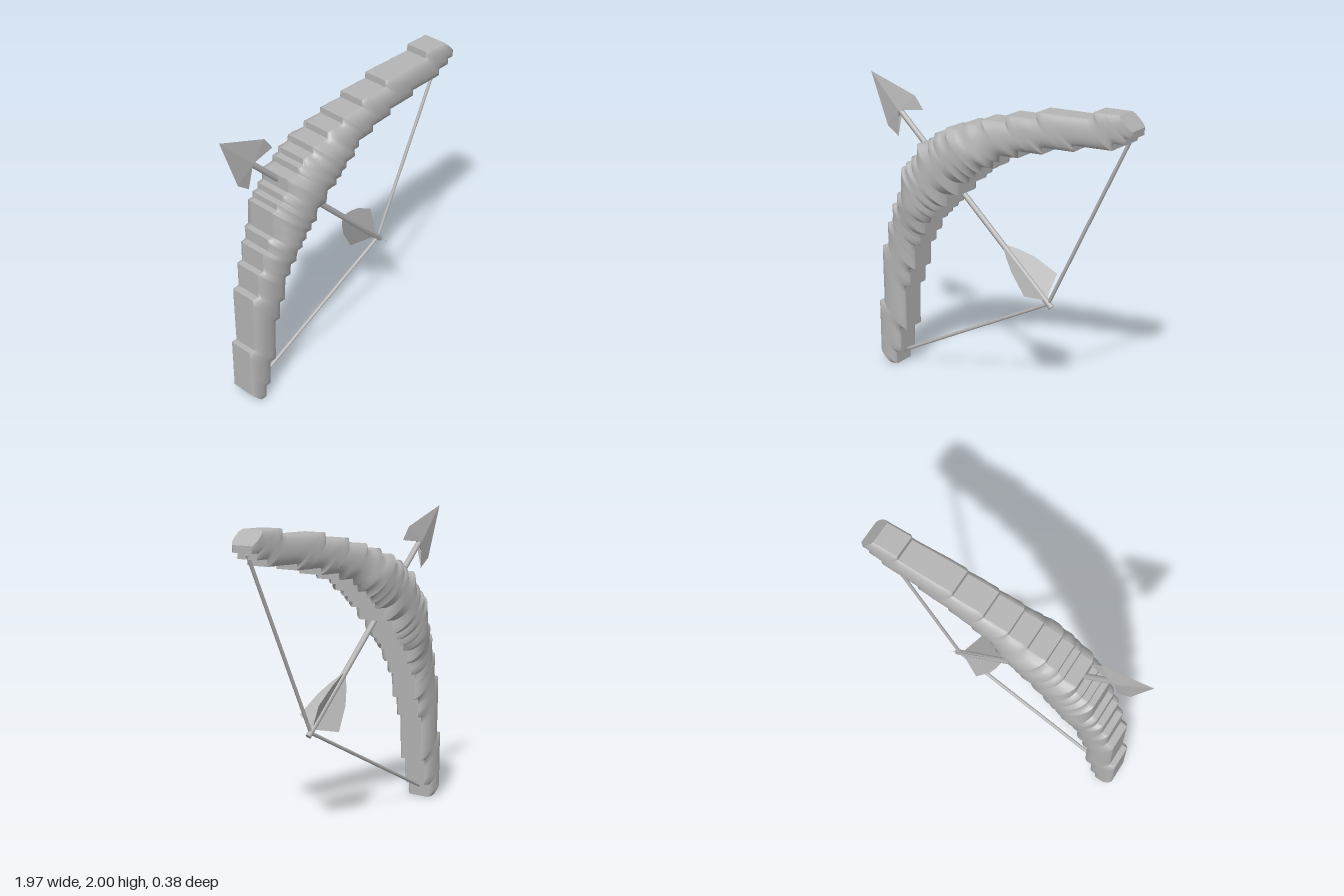
import * as THREE from 'three';

const grey = new THREE.MeshStandardMaterial({ color: 0xb4b4b4, side: THREE.DoubleSide });
grey.name = 'plain grey';

// Stair-stepped edges of the bow: each pair is a riser's x and the height it climbs to.
const OUTER = [[-0.9, 0.44], [-0.86, 0.84], [-0.81, 1.01], [-0.765, 1.145], [-0.72, 1.23], [-0.68, 1.41],
  [-0.64, 1.45], [-0.595, 1.495], [-0.55, 1.585], [-0.46, 1.63], [-0.415, 1.67], [-0.33, 1.715],
  [-0.2, 1.76], [-0.065, 1.8], [0.11, 1.845], [0.33, 1.89], [0.72, 1.935]];
const INNER = [[-0.77, 0.09], [-0.73, 0.27], [-0.68, 0.58], [-0.64, 0.71], [-0.595, 0.885], [-0.55, 0.97],
  [-0.505, 1.06], [-0.46, 1.1], [-0.42, 1.145], [-0.375, 1.19], [-0.33, 1.28], [-0.24, 1.37],
  [-0.155, 1.41], [-0.11, 1.45], [-0.065, 1.495], [0.02, 1.54], [0.065, 1.585], [0.2, 1.63],
  [0.37, 1.675], [0.59, 1.715], [0.85, 1.76], [0.94, 1.8], [0.985, 1.845]];
// Half thickness by distance from the grip
const DEPTH = [[0, 0.188], [0.42, 0.186], [0.62, 0.152], [0.95, 0.132], [1.4, 0.115], [1.85, 0.098]];

function stairs(risers, y) {
  const points = [];
  for (const [x, top] of risers) {
    points.push([x, y], [x, top]);
    y = top;
  }
  return points;
}

function lerpTable(table, key, value, t) {
  for (let i = 1; i < table.length; i++) {
    const a = key(table[i - 1]), b = key(table[i]);
    if (t <= b || i === table.length - 1) {
      const k = THREE.MathUtils.clamp((t - a) / (b - a), 0, 1);
      return value(table[i - 1], table[i], k);
    }
  }
}

const mix = (a, b, k) => a + (b - a) * k;
const along = (p) => p[0] + p[1];
const pointAt = (line, s) => lerpTable(line, along, (a, b, k) => [mix(a[0], b[0], k), mix(a[1], b[1], k)], s);

function makeMesh(name, geometry) {
  const mesh = new THREE.Mesh(geometry, grey);
  mesh.name = name;
  return mesh;
}

function flatGeometry(triangles) {
  const geometry = new THREE.BufferGeometry();
  geometry.setAttribute('position', new THREE.Float32BufferAttribute(triangles.flat(2), 3));
  geometry.computeVertexNormals();
  return geometry;
}

// Puffed-up bow: sections run from the outer to the inner stairs
function createBow() {
  const outer = [...stairs(OUTER, 0.09), [0.895, 1.935]];
  const inner = [[-0.81, 0], ...stairs(INNER, 0)];
  let stations = [...outer, ...inner].map(along);
  for (let s = -0.78; s < 2.8; s += 0.09) stations.push(s);
  stations.sort((a, b) => a - b);
  stations = stations.filter((s, i) => i === 0 || s - stations[i - 1] > 0.003);

  const columns = 12;
  const rows = stations.map((s) => {
    const o = pointAt(outer, s), n = pointAt(inner, s);
    const distance = Math.abs(s - 1);
    const depth = lerpTable(DEPTH, (p) => p[0], (a, b, k) => mix(a[1], b[1], k), distance);
    const rim = mix(0.098, 0.075, distance / 1.85);
    return Array.from({ length: columns + 1 }, (_, j) => {
      const u = -Math.cos((j / columns) * Math.PI);
      const puff = Math.pow(Math.max(0, 1 - Math.pow(Math.abs(u), 2.4)), 0.65);
      const k = (u + 1) / 2;
      return [mix(o[0], n[0], k), mix(o[1], n[1], k), mix(rim, depth, puff)];
    });
  });
  const back = (p) => [p[0], p[1], -p[2]];

  // Smooth faces on both sides
  const bow = new THREE.Group();
  bow.name = 'bow';
  for (const side of [1, -1]) {
    const index = [];
    for (let i = 0; i < rows.length - 1; i++) {
      for (let j = 0; j < columns; j++) {
        const a = i * (columns + 1) + j, b = a + 1, c = a + columns + 1, d = c + 1;
        if (side > 0) index.push(a, b, c, b, d, c);
        else index.push(a, c, b, b, c, d);
      }
    }
    const geometry = new THREE.BufferGeometry();
    const points = rows.flat().map((p) => (side > 0 ? p : back(p)));
    geometry.setAttribute('position', new THREE.Float32BufferAttribute(points.flat(), 3));
    geometry.setIndex(index);
    geometry.computeVertexNormals();
    bow.add(makeMesh(side > 0 ? 'bowFront' : 'bowBack', geometry));
  }

  // Flat stepped rim and the two end caps
  const triangles = [];
  const wall = (p, q) => triangles.push([p, q, back(p)], [q, back(q), back(p)]);
  for (let i = 0; i < rows.length - 1; i++) {
    wall(rows[i][0], rows[i + 1][0]);
    wall(rows[i + 1][columns], rows[i][columns]);
  }
  const first = rows[0], last = rows[rows.length - 1];
  for (let j = 0; j < columns; j++) {
    wall(first[j + 1], first[j]);
    wall(last[j], last[j + 1]);
  }
  bow.add(makeMesh('bowRim', flatGeometry(triangles)));
  return bow;
}

function rod(name, from, to, radius, sides) {
  const a = new THREE.Vector3(...from), b = new THREE.Vector3(...to);
  const direction = b.clone().sub(a);
  const mesh = makeMesh(name, new THREE.CylinderGeometry(radius, radius, direction.length(), sides));
  mesh.position.copy(a).add(b).multiplyScalar(0.5);
  mesh.quaternion.setFromUnitVectors(new THREE.Vector3(0, 1, 0), direction.normalize());
  return mesh;
}

function createArrow() {
  const arrow = new THREE.Group();
  arrow.name = 'arrow';
  arrow.add(rod('arrowShaft', [-0.78, 1.785, 0], [0.4, 0.61, 0], 0.019, 8));

  // Barbed head with a raised middle ridge
  const outline = [[-0.987, 2], [-0.638, 1.872], [-0.574, 1.785], [-0.69, 1.79], [-0.745, 1.755],
    [-0.78, 1.7], [-0.775, 1.585], [-0.86, 1.648]].map((p) => [...p, 0]);
  const triangles = [];
  outline.forEach((p, i) => {
    const q = outline[(i + 1) % outline.length];
    triangles.push([[-0.755, 1.765, 0.024], q, p], [[-0.755, 1.765, -0.024], p, q]);
  });
  arrow.add(makeMesh('arrowHead', flatGeometry(triangles)));

  // Three vanes spaced evenly round the shaft
  const vane = new THREE.Shape([[0, 0], [0.1, 0.065], [0.2, 0.115], [0.374, 0.162], [0.467, 0]]
    .map((p) => new THREE.Vector2(...p)));
  const vaneGeometry = new THREE.ShapeGeometry(vane);
  const fletching = new THREE.Group();
  fletching.name = 'fletching';
  fletching.position.set(0.03, 0.98, 0);
  fletching.rotation.z = -Math.PI / 4;
  for (let i = 0; i < 3; i++) {
    const mesh = makeMesh('vane', vaneGeometry);
    mesh.rotation.x = Math.PI / 2 + (i * Math.PI * 2) / 3;
    fletching.add(mesh);
  }
  arrow.add(fletching);
  return arrow;
}

export function createModel() {
  const model = new THREE.Group();
  model.name = 'bowAndArrow';
  model.add(createBow(), createArrow());
  // Drawn string, from each tip to the arrow's nock
  model.add(rod('upperString', [0.94, 1.79, 0], [0.38, 0.64, 0], 0.012, 6));
  model.add(rod('lowerString', [-0.79, 0.065, 0], [0.385, 0.635, 0], 0.012, 6));
  return model;
}
